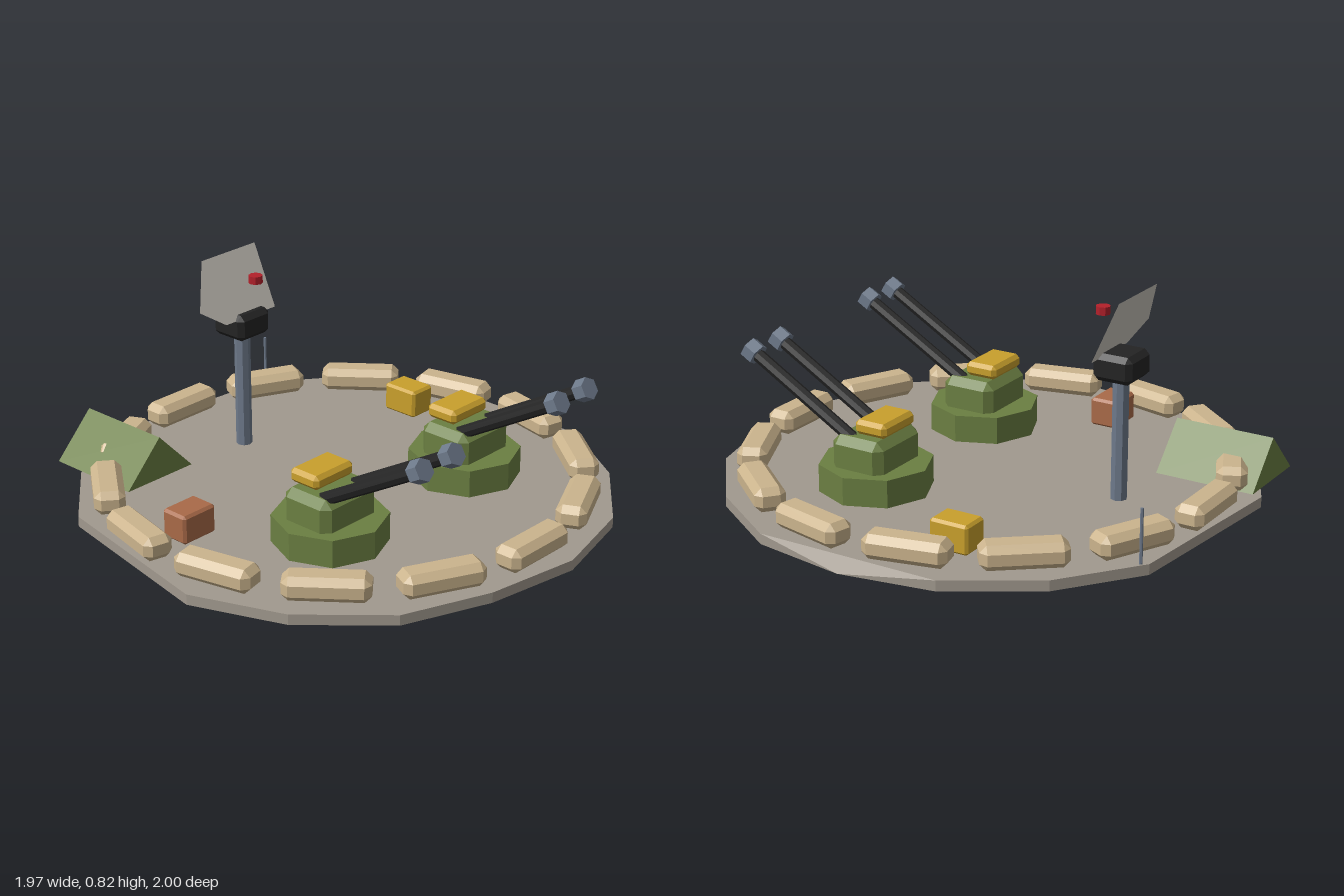
import * as THREE from 'three';
import { ConvexGeometry } from 'three/addons/geometries/ConvexGeometry.js';

const mat = (name, color, extra = {}) => {
  const m = new THREE.MeshStandardMaterial({ color, flatShading: true, ...extra });
  m.name = name;
  return m;
};

// Box with flat chamfers on every edge
function chamferBox(w, h, d, c) {
  const pts = [];
  for (const x of [-w / 2, w / 2]) for (const y of [-h / 2, h / 2]) for (const z of [-d / 2, d / 2]) {
    const ix = x - Math.sign(x) * c, iy = y - Math.sign(y) * c, iz = z - Math.sign(z) * c;
    pts.push(new THREE.Vector3(x, iy, iz), new THREE.Vector3(ix, y, iz), new THREE.Vector3(ix, iy, z));
  }
  return new ConvexGeometry(pts);
}

export function createModel() {
  const concrete = mat('concrete', 0xa1998e);
  const sand = mat('sandbag tan', 0xcbb48d);
  const olive = mat('olive green', 0x6b7f42);
  const yellow = mat('ammo yellow', 0xc9a02c);
  const brown = mat('crate brown', 0xa96a48);
  const black = mat('gun black', 0x242424);
  const steel = mat('blue steel', 0x6d798a);
  const pale = mat('dish grey', 0xcbc6bd, { side: THREE.DoubleSide });
  const red = mat('signal red', 0xb3202a);

  const root = new THREE.Group();
  root.name = 'gunEmplacement';
  const add = (parent, name, geo, material, x = 0, y = 0, z = 0) => {
    const m = new THREE.Mesh(geo, material);
    m.name = name;
    m.position.set(x, y, z);
    parent.add(m);
    return m;
  };

  // Platform: irregular slab with one sloping rear lip
  const rim = [[0.35, -0.94], [0.66, -0.74], [0.89, -0.45], [0.98, -0.09], [0.92, 0.28], [0.79, 0.61],
    [0.51, 0.86], [0.16, 0.995], [-0.55, 0.86], [-0.82, 0.61], [-0.99, 0.28], [-0.92, -0.45],
    [-0.7, -0.74], [-0.38, -0.94]];
  const slab = rim.flatMap(([x, z]) => [new THREE.Vector3(x, 0, z), new THREE.Vector3(x, 0.04, z)]);
  slab.push(new THREE.Vector3(-0.02, 0, -1));
  add(root, 'platform', new ConvexGeometry(slab), concrete);

  // Ring of sandbags
  const bags = new THREE.Group();
  bags.name = 'sandbagRing';
  root.add(bags);
  const bagGeo = chamferBox(0.115, 0.092, 0.31, 0.025);
  for (let i = 0; i < 14; i++) {
    const a = (i / 14) * Math.PI * 2;
    add(bags, 'sandbag', bagGeo, sand, -0.02 + 0.886 * Math.cos(a), 0.092, 0.886 * Math.sin(a)).rotation.y = -a;
  }

  // Twin-barrelled turrets, barrels raised 30 degrees towards +x
  const tilt = Math.PI / 6;
  for (const side of [-1, 1]) {
    const turret = new THREE.Group();
    turret.name = side > 0 ? 'frontTurret' : 'rearTurret';
    turret.position.set(0.25, 0, 0.372 * side);
    root.add(turret);
    add(turret, 'turretBase', new THREE.CylinderGeometry(0.213, 0.213, 0.107, 8), olive, 0, 0.0925, 0);
    add(turret, 'turretBody', chamferBox(0.22, 0.15, 0.28, 0.03), olive, 0, 0.19, 0);
    add(turret, 'ammoBox', chamferBox(0.135, 0.055, 0.2, 0.015), yellow, -0.04, 0.3, 0);
    for (const s of [-1, 1]) {
      const gun = new THREE.Group();
      gun.name = 'gun';
      gun.position.set(0.483, 0.5, 0.082 * s);
      gun.rotation.z = tilt - Math.PI / 2;
      turret.add(gun);
      add(gun, 'barrel', new THREE.CylinderGeometry(0.025, 0.025, 0.58, 8), black, 0, -0.3, 0);
      add(gun, 'muzzle', new THREE.CylinderGeometry(0.043, 0.043, 0.05, 6), steel).rotation.y = Math.PI / 6;
    }
  }

  // Supply crates
  add(root, 'yellowCrate', chamferBox(0.155, 0.112, 0.115, 0.01), yellow, -0.29, 0.094, -0.67);
  add(root, 'brownCrate', chamferBox(0.115, 0.112, 0.155, 0.01), brown, -0.155, 0.094, 0.677);

  // Radar: mast, head, tilted dish sheet and feed
  const radar = new THREE.Group();
  radar.name = 'radar';
  root.add(radar);
  add(radar, 'mast', new THREE.CylinderGeometry(0.031, 0.031, 0.48, 8), steel, -0.555, 0.28, 0);
  add(radar, 'radarHead', chamferBox(0.157, 0.103, 0.165, 0.02), black, -0.555, 0.553, 0);
  const outline = [[0.15, 0.82], [-0.13, 0.82], [-0.13, 0.585], [0.13, 0.585], [0.235, 0.655]];
  const dish = new THREE.ShapeGeometry(new THREE.Shape(outline.map(([z, y]) => new THREE.Vector2(-z, y))));
  const p = dish.attributes.position;
  for (let i = 0; i < p.count; i++) {
    const z = -p.getX(i), y = p.getY(i);
    p.setXYZ(i, -0.61 + (0.82 - y) * 0.447, y, z);
  }
  dish.computeVertexNormals();
  add(radar, 'dish', dish, pale);
  add(radar, 'dishFeed', new THREE.CylinderGeometry(0.027, 0.027, 0.03, 8), red, -0.477, 0.742, 0);

  // Ridge tent, running along x
  const section = new THREE.Shape([[-0.605, 0.042], [-0.28, 0.042], [-0.44, 0.21]].map(([x, y]) => new THREE.Vector2(x, y)));
  const tent = new THREE.ExtrudeGeometry(section, { depth: 0.395, bevelEnabled: false });
  tent.rotateY(Math.PI / 2);
  add(root, 'tent', tent, olive, -0.955, 0, 0);

  // Whip antenna at the platform edge
  add(root, 'antenna', new THREE.CylinderGeometry(0.006, 0.006, 0.23, 6), steel, -0.895, 0.13, -0.465);

  return root;
}
